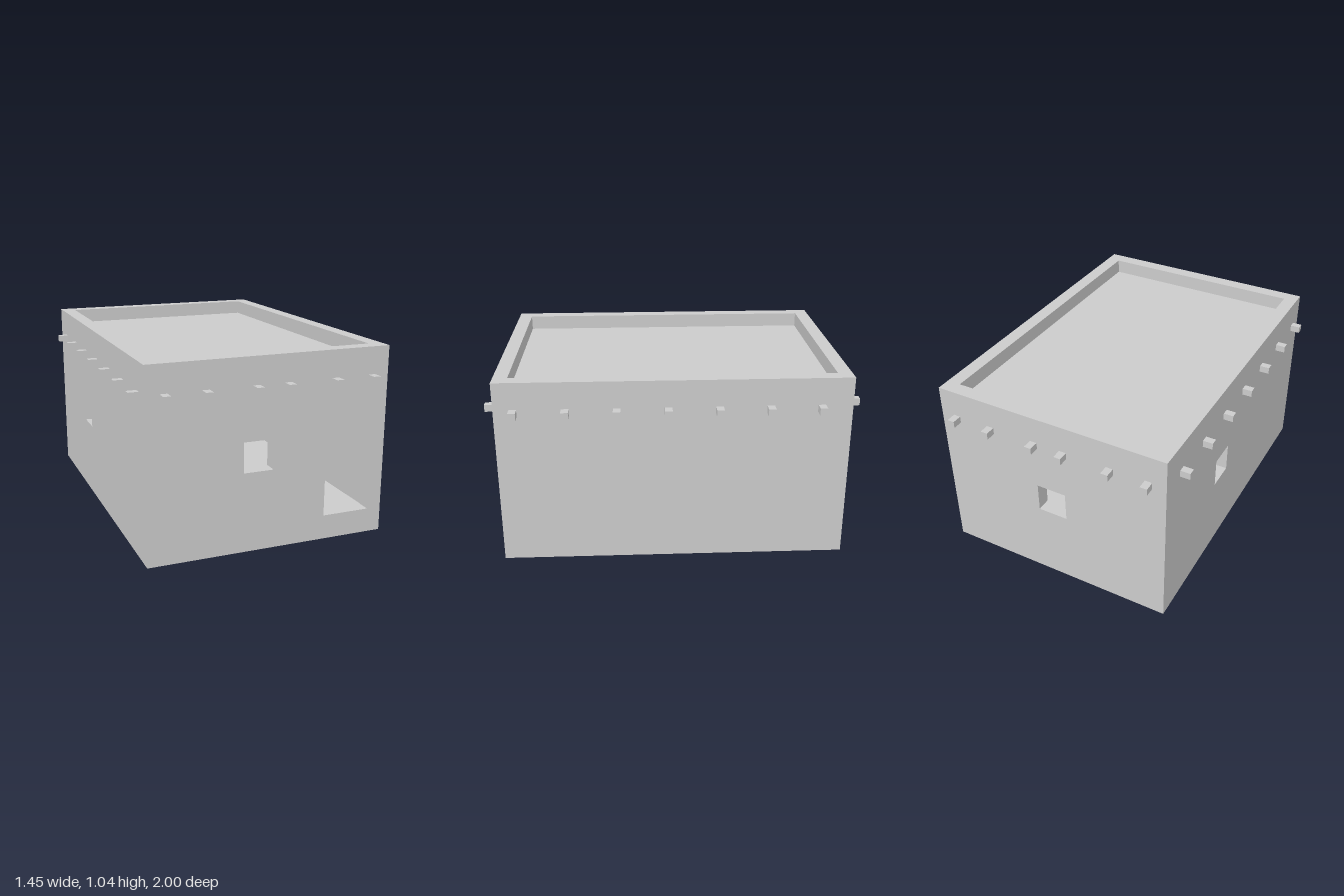
import * as THREE from 'three';

const HX = 0.672, HZ = 0.945, TOP = 1.04; // half width, half depth, parapet height
const T = 0.078;                          // wall thickness
const BASE = 0.115, FLOOR = 0.134, ROOF = 0.957;

const solid = new THREE.MeshStandardMaterial({ color: 0xcccccc, flatShading: true });
const sheet = new THREE.MeshStandardMaterial({ color: 0xcccccc, side: THREE.DoubleSide });

function add(parent, name, geometry, material) {
  const mesh = new THREE.Mesh(geometry, material);
  mesh.name = name;
  parent.add(mesh);
  return mesh;
}

// Thick wall facing +z with rectangular openings [x0, x1, y0, y1] and mitred ends
function wallGeometry(half, out, openings) {
  const rect = (P, x0, x1, y0, y1) =>
    new P().moveTo(x0, y0).lineTo(x1, y0).lineTo(x1, y1).lineTo(x0, y1).closePath();
  const shape = rect(THREE.Shape, -half, half, BASE, TOP);
  for (const o of openings) shape.holes.push(rect(THREE.Path, ...o));
  const g = new THREE.ExtrudeGeometry(shape, { depth: T, bevelEnabled: false });
  g.translate(0, 0, out - T);
  const p = g.attributes.position;
  for (let i = 0; i < p.count; i++) {
    const x = p.getX(i);
    if (p.getZ(i) < out - T / 2 && Math.abs(x) > half - 1e-4) p.setX(i, Math.sign(x) * (half - T));
  }
  g.computeVertexNormals();
  return g;
}

// One side of the building: wall, thin skirt below it and a row of beam ends
function side(name, angle, half, out, openings, beams) {
  const group = new THREE.Group();
  group.name = name;
  add(group, 'wall', wallGeometry(half, out, openings), solid);
  add(group, 'skirt', new THREE.PlaneGeometry(2 * half, BASE), sheet).position.set(0, BASE / 2, out);
  for (const x of beams) {
    add(group, 'beamEnd', new THREE.BoxGeometry(0.04, 0.038, 0.065), solid)
      .position.set(x, 0.872, out + 0.0225);
  }
  group.rotation.y = angle;
  return group;
}

export function createModel() {
  const model = new THREE.Group();
  model.name = 'flatRoofedHouse';

  const endBeams = [-0.574, -0.358, -0.088, 0.088, 0.358, 0.574];
  const sideBeams = Array.from({ length: 7 }, (_, i) => -0.778 + i * 0.27);
  const door = [0.32, 0.592, FLOOR, 0.705];
  const frontWindow = [-0.152, 0.016, 0.435, 0.6];
  const backWindow = [-0.085, 0.085, 0.435, 0.6];
  const sideWindow = [-0.315, -0.15, 0.435, 0.6];

  model.add(
    side('frontSide', 0, HX, HZ, [frontWindow, door], endBeams),
    side('backSide', Math.PI, HX, HZ, [backWindow], endBeams),
    side('leftSide', Math.PI / 2, HZ, HX, [], sideBeams.map(z => -z)),
    side('rightSide', -Math.PI / 2, HZ, HX, [sideWindow], sideBeams)
  );

  // Floor and sunken roof, spanning between the inner wall faces
  for (const [name, y] of [['floor', FLOOR], ['roof', ROOF]]) {
    const g = new THREE.PlaneGeometry(2 * (HX - T), 2 * (HZ - T)).rotateX(-Math.PI / 2);
    add(model, name, g, sheet).position.y = y;
  }
  return model;
}
